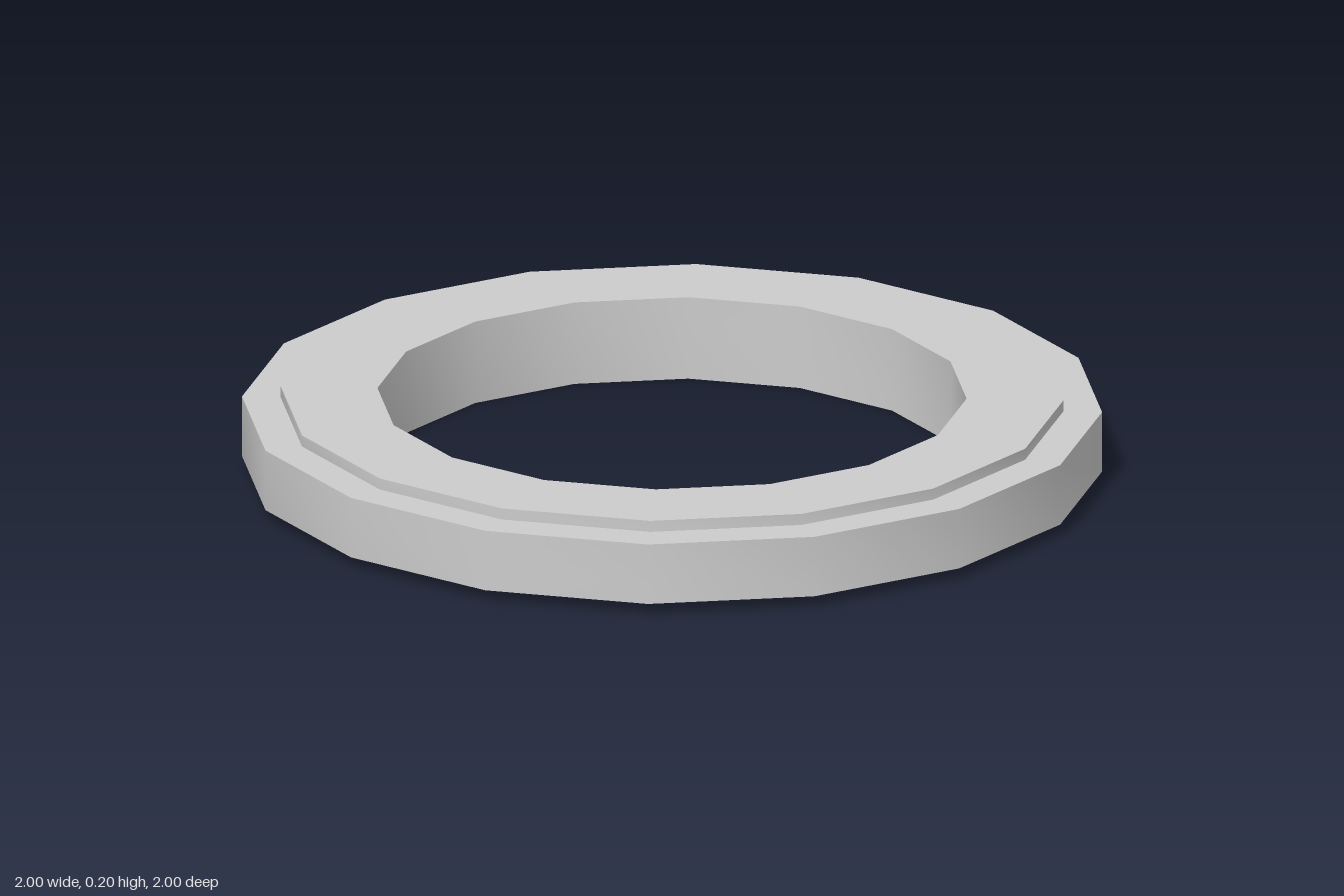
import * as THREE from 'three';
import { toCreasedNormals } from 'three/addons/utils/BufferGeometryUtils.js';

export function createModel() {
  const group = new THREE.Group();
  group.name = 'flangedRing';

  const sides = 16;
  const bore = 0.685, shoulder = 0.91, rim = 1;
  const height = 0.2, step = 0.027;

  // Closed cross-section: underside, outer steps, top face, then down the bore
  const profile = [
    [bore, 0], [shoulder, 0], [shoulder, step], [rim, step],
    [rim, height - step], [shoulder, height - step], [shoulder, height],
    [bore, height], [bore, 0],
  ].map(([r, y]) => new THREE.Vector2(r, y));

  // Smooth around the ring, sharp at the steps
  const geometry = toCreasedNormals(new THREE.LatheGeometry(profile, sides), Math.PI / 4);
  const ring = new THREE.Mesh(geometry, new THREE.MeshStandardMaterial({ color: 0xcccccc }));
  ring.name = 'ring';
  group.add(ring);

  return group;
}
